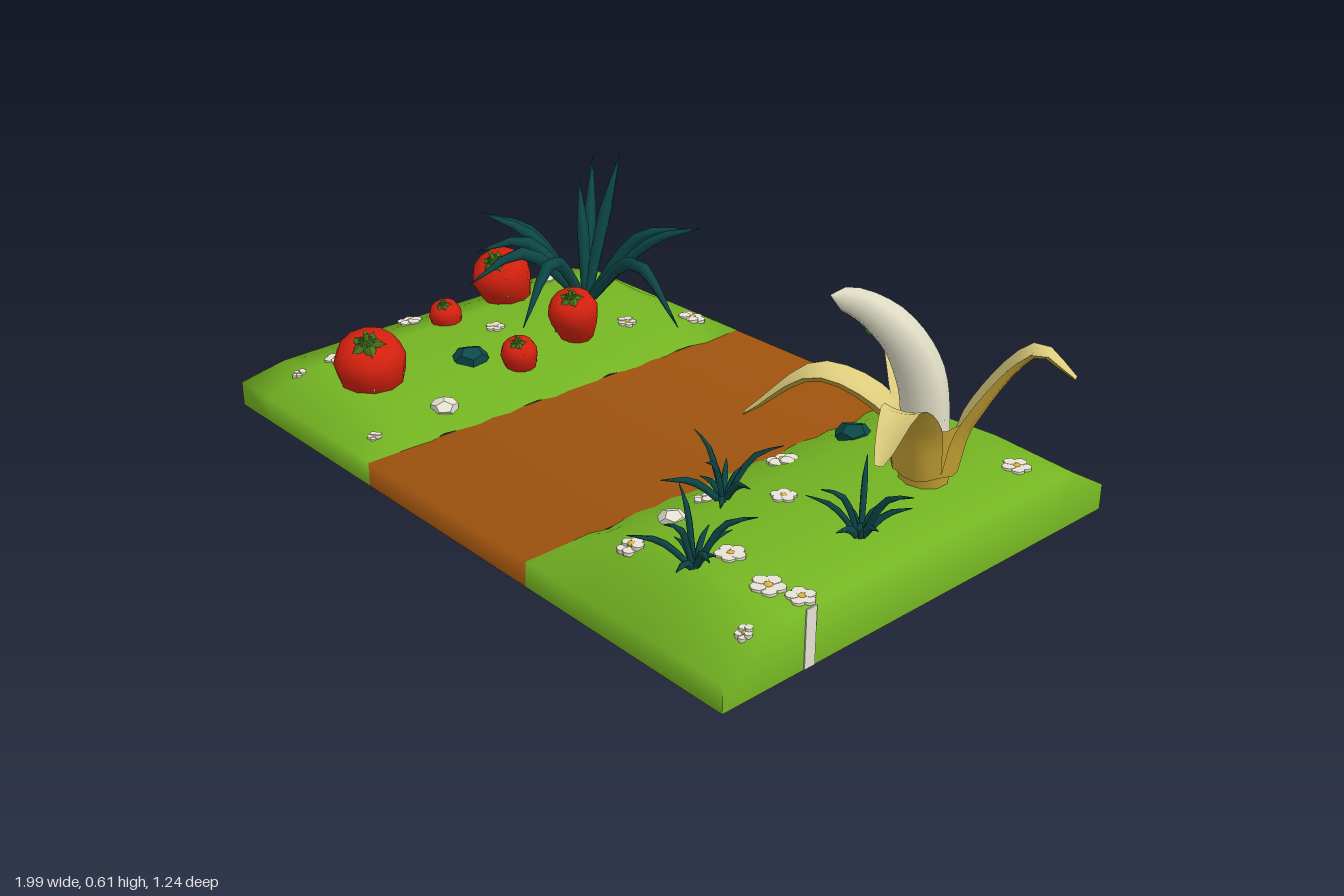
import * as THREE from 'three';

const mat = (name, color, side = THREE.FrontSide) => {
  const m = new THREE.MeshStandardMaterial({ color, side });
  m.name = name;
  return m;
};
const V = (x, y, z) => new THREE.Vector3(x, y, z);

// Piecewise linear lookup in [position, value] pairs
function lookup(table, x) {
  for (let i = 1; i < table.length; i++) {
    const [a, va] = table[i - 1], [b, vb] = table[i];
    if (x <= b) return va + (vb - va) * Math.max(0, (x - a) / (b - a));
  }
  return table[table.length - 1][1];
}

// Height of the two grassy banks beside the path
const RIGHT_BANK = [[0.3, 0], [0.36, 0.03], [0.5, 0.08], [0.7, 0.09], [0.92, 0.078]];
const LEFT_BANK = [[0.32, 0], [0.42, 0.035], [0.6, 0.07], [0.8, 0.08], [0.94, 0.045]];
function ground(x, z) {
  const end = Math.min(1, Math.max(0, (0.62 - Math.abs(z)) / 0.13));
  if (x > 0) return 0.081 + lookup(RIGHT_BANK, x) * end;
  return 0.081 + lookup(LEFT_BANK, -x) * end * (0.78 - 0.44 * z);
}

// Smooth surface through a grid of points
function gridSurface(rows) {
  const n = rows[0].length, index = [];
  for (let i = 0; i < rows.length - 1; i++) {
    for (let j = 0; j < n - 1; j++) {
      const a = i * n + j, b = a + n;
      index.push(a, b, b + 1, a, b + 1, a + 1);
    }
  }
  const g = new THREE.BufferGeometry();
  g.setAttribute('position', new THREE.Float32BufferAttribute(rows.flat(2), 3));
  g.setIndex(index);
  g.computeVertexNormals();
  return g;
}

function bankGeometry(table, side) {
  const xs = table.map(p => p[0]);
  xs.push(xs[xs.length - 1]);
  const zs = [-0.62, -0.62];
  for (let i = 0; i <= 20; i++) zs.push(-0.49 + i * 0.049);
  zs.push(0.62, 0.62);
  const rows = zs.map((z, i) => {
    const row = xs.map((x, j) => {
      const low = i === 0 || i === zs.length - 1 || j === xs.length - 1;
      const ragged = j === 0 ? 0.006 * Math.sin(i * 2.3) + 0.004 * Math.sin(i * 5.1) : 0;
      return [side * (x + ragged), low ? 0.015 : ground(side * x, z), z];
    });
    return side > 0 ? row : row.reverse();
  });
  return gridSurface(rows);
}

// Tube whose radius follows a rule along its length
function taperedTube(points, radius, segments, sides, flat = 1) {
  const curve = new THREE.CatmullRomCurve3(points);
  const g = new THREE.TubeGeometry(curve, segments, 1, sides);
  const p = g.attributes.position, v = V(0, 0, 0);
  for (let i = 0; i < p.count; i++) {
    const t = Math.floor(i / (sides + 1)) / segments;
    const c = curve.getPointAt(t);
    v.fromBufferAttribute(p, i).sub(c).multiplyScalar(radius(t));
    v.y *= flat;
    v.add(c);
    p.setXYZ(i, v.x, v.y, v.z);
  }
  return g;
}

// One face of a peel strip, curved across its width
function peelFace(curve, dir, depth, flip) {
  const g = new THREE.PlaneGeometry(1, 1, 4, 12);
  const p = g.attributes.position, side = V(-dir.z, 0, dir.x);
  for (let i = 0; i < p.count; i++) {
    const s = p.getX(i) * 2, t = p.getY(i) + 0.5;
    const n = side.clone().cross(curve.getTangentAt(t));
    const w = lookup([[0, 0.055], [0.35, 0.06], [0.65, 0.045], [0.9, 0.024], [1, 0.01]], t);
    const v = curve.getPointAt(t).addScaledVector(side, w * s)
      .addScaledVector(n, -depth * (1 - s * s) * w / 0.06);
    p.setXYZ(i, v.x, v.y, v.z);
  }
  if (flip) g.index.array.reverse();
  g.computeVertexNormals();
  return g;
}

export function createModel() {
  const model = new THREE.Group();
  model.name = 'gardenPathTile';
  const grass = mat('grass green', 0x74b422, THREE.DoubleSide);
  const earth = mat('earth brown', 0xab5a10, THREE.DoubleSide);
  const red = mat('berry red', 0xd4200e);
  const leaf = mat('calyx green', 0x4f8020);
  const teal = mat('leaf teal', 0x0d4848);
  const white = mat('petal white', 0xe6e2d4);
  const yellow = mat('pollen yellow', 0xe2b43c);
  const peelOut = mat('peel yellow', 0xc8a535);
  const peelIn = mat('peel cream', 0xdccb7c);
  const flesh = mat('fruit ivory', 0xe0ddc6);
  const add = (name, geometry, material, parent = model) => {
    const m = new THREE.Mesh(geometry, material);
    m.name = name;
    parent.add(m);
    return m;
  };
  const group = (name, x = 0, y = 0, z = 0) => {
    const g = new THREE.Group();
    g.name = name;
    g.position.set(x, y, z);
    model.add(g);
    return g;
  };

  // Ground: two banks and a softly rounded path, open underneath
  add('rightBank', bankGeometry(RIGHT_BANK, 1), grass);
  add('leftBank', bankGeometry(LEFT_BANK, -1), grass);
  const path = gridSurface([[-0.62, 0.015], [-0.62, 0.08], [0.62, 0.08], [0.62, 0.015]]
    .map(([z, y]) => [[-0.325, y, z], [0.305, y, z]]));
  const pn = path.attributes.normal;
  for (let i = 0; i < 8; i++) {
    const s = i < 4 ? -1 : 1, top = i > 1 && i < 6;
    pn.setXYZ(i, 0, top ? 0.71 : 0, top ? s * 0.71 : s);
  }
  add('path', path, earth);
  add('edgeStripe', new THREE.BoxGeometry(0.006, 0.142, 0.03), white).position.set(0.92, 0.088, 0.378);

  // Peeled fruit plant
  const plant = group('peeledFruit');
  const cx = 0.72, cz = -0.2;
  add('fruitBase', new THREE.CylinderGeometry(0.078, 0.056, 0.17, 10, 1, true), peelOut, plant)
    .position.set(cx, 0.235, cz);
  add('fruitFlesh', taperedTube(
    [V(cx, 0.26, cz), V(0.705, 0.42, -0.185), V(0.665, 0.52, -0.15), V(0.6, 0.575, -0.11), V(0.53, 0.592, -0.07)],
    t => lookup([[0, 0.055], [0.4, 0.056], [0.7, 0.046], [0.93, 0.03], [1, 0.002]], t), 16, 8), flesh, plant);
  for (const [x, y, z, at, hump] of [[0.38, 0.38, -0.39, 0.6, 0.46], [0.99, 0.46, -0.36, 0.72, 0.52],
    [0.83, 0.34, 0.09, 0.6, 0.42], [0.37, 0.28, 0.035, 0.6, 0.41]]) {
    const reach = V(x - cx, 0, z - cz), dir = reach.clone().normalize();
    const at3 = (r, h) => V(cx + dir.x * r, h, cz + dir.z * r);
    const curve = new THREE.CatmullRomCurve3([at3(0.045, 0.2), at3(0.075, 0.33),
      at3(reach.length() * at, hump), V(x, y, z)]);
    add('peelInside', peelFace(curve, dir, 0.012, false), peelIn, plant);
    add('peelOutside', peelFace(curve, dir, 0.034, true), peelOut, plant);
  }
  add('peelTip', new THREE.SphereGeometry(0.018, 6, 5), leaf, plant).position.set(0.38, 0.375, -0.39);

  // Big spiky plant: tips of the arching leaves
  const big = group('bigPlant');
  const root = V(-0.67, 0.13, -0.35);
  for (const [x, y, z, lift] of [[-0.69, 0.545, -0.5, 0.02], [-0.85, 0.49, -0.53, 0.02], [-0.39, 0.39, -0.545, 0.06],
    [-0.28, 0.175, -0.355, 0.16], [-0.99, 0.35, -0.225, 0.07], [-0.88, 0.4, -0.14, 0.06], [-0.85, 0.3, -0.1, 0.1],
    [-0.72, 0.27, 0.02, 0.12], [-0.51, 0.2, 0.0, 0.16], [-0.43, 0.38, -0.53, 0.08], [-0.78, 0.46, -0.42, 0.04]]) {
    const tip = V(x, y, z), mid = root.clone().lerp(tip, 0.55);
    mid.y += lift;
    add('bigLeaf', taperedTube([root, mid, tip],
      t => lookup([[0, 0.014], [0.6, 0.02], [1, 0.001]], t), 8, 5), teal, big);
  }

  // Three small tufts
  for (const [x, z, turn] of [[0.47, 0.19, 0.2], [0.8, 0.1, 0.9], [0.66, 0.455, 0.5]]) {
    const tuft = group('tuft', x, ground(x, z) - 0.01, z);
    for (let i = 0; i < 10; i++) {
      const a = turn + i * 0.628, r = 0.1 + 0.045 * Math.sin(i * 2.6 + turn), h = 0.085 + 0.045 * Math.sin(i * 4.1);
      add('tuftLeaf', taperedTube([V(0, 0, 0),
        V(Math.cos(a) * r * 0.5, h * 0.85, Math.sin(a) * r * 0.5), V(Math.cos(a) * r, h, Math.sin(a) * r)],
      t => lookup([[0, 0.008], [0.6, 0.009], [1, 0.001]], t), 6, 4), teal, tuft);
    }
  }

  // Strawberries: top position, tip position, radius
  const profile = [[0, -1], [0.35, -0.93], [0.7, -0.7], [0.93, -0.42], [1, -0.2], [0.82, -0.04], [0.45, 0.01], [0, 0]]
    .map(([r, y]) => new THREE.Vector2(r, y));
  const body = new THREE.LatheGeometry(profile, 12);
  const sepal = new THREE.ConeGeometry(0.24, 0.85, 4).scale(1, 1, 0.2).translate(0, 0.42, 0).rotateX(1.72);
  for (const [top, tip, r] of [
    [V(-0.62, 0.235, 0.42), V(-0.69, 0.01, 0.355), 0.095],
    [V(-0.82, 0.265, -0.14), V(-0.85, 0.08, -0.24), 0.085],
    [V(-0.49, 0.25, -0.15), V(-0.53, 0.08, -0.21), 0.07],
    [V(-0.805, 0.19, 0.055), V(-0.825, 0.07, 0.015), 0.046],
    [V(-0.465, 0.185, 0.055), V(-0.49, 0.06, 0.015), 0.05]]) {
    const berry = group('strawberry', top.x, top.y, top.z);
    const axis = top.clone().sub(tip);
    berry.scale.set(r, axis.length(), r);
    berry.quaternion.setFromUnitVectors(V(0, 1, 0), axis.normalize());
    add('berryBody', body, red, berry);
    for (let i = 0; i < 5; i++) {
      const s = add('sepal', sepal, leaf, berry);
      s.position.y = 0.06;
      s.rotation.y = i * 1.257;
    }
    add('stem', new THREE.CylinderGeometry(0.07, 0.09, 0.2, 5), leaf, berry).position.y = 0.1;
    for (let i = 0; i < 12; i++) {
      const y = i % 2 ? -0.3 : -0.56, rad = i % 2 ? 0.96 : 0.82;
      add('seed', new THREE.SphereGeometry(0.035, 5, 4), yellow, berry)
        .position.set(rad * Math.cos(i * 0.524), y, rad * Math.sin(i * 0.524));
    }
  }

  // Faceted stones
  for (const [x, z, s, m] of [[-0.575, 0.13, 0.05, teal], [0.43, -0.285, 0.048, teal],
    [-0.415, 0.33, 0.038, white], [0.46, 0.335, 0.034, white]]) {
    const stone = add('stone', new THREE.DodecahedronGeometry(s, 0).scale(1, 0.6, 1), m);
    stone.position.set(x, ground(x, z) + 0.004, z);
    stone.rotation.y = x * 9;
  }

  // Flat daisies lying on the grass: x, z, size
  const petal = new THREE.CylinderGeometry(0.018, 0.018, 0.009, 7);
  const heart = new THREE.SphereGeometry(0.012, 6, 4).scale(1, 0.6, 1);
  for (const [x, z, s] of [[-0.435, -0.55, 1], [-0.91, 0.1, 0.9], [-0.68, -0.03, 0.7], [-0.81, 0.4, 0.9],
    [-0.815, 0.515, 0.5], [-0.41, 0.545, 0.5], [-0.49, -0.35, 0.7], [-0.87, -0.36, 0.8], [0.47, -0.53, 1],
    [0.825, -0.405, 0.9], [0.39, -0.08, 1], [0.57, 0.1, 0.8], [0.68, 0.37, 0.9], [0.815, 0.395, 1],
    [0.885, 0.37, 0.85], [0.5, 0.49, 0.8], [0.88, 0.525, 0.5], [0.42, 0.2, 0.7]]) {
    const daisy = group('daisy');
    for (let i = 0; i < 5; i++) {
      const a = i * 1.257 + x * 7, px = x + Math.cos(a) * 0.022 * s, pz = z + Math.sin(a) * 0.022 * s;
      const p = add('petal', petal, white, daisy);
      p.position.set(px, ground(px, pz) + 0.001, pz);
      p.scale.set(s, 1, s);
    }
    const c = add('daisyHeart', heart, yellow, daisy);
    c.position.set(x, ground(x, z) + 0.003, z);
    c.scale.setScalar(s);
  }
  return model;
}
